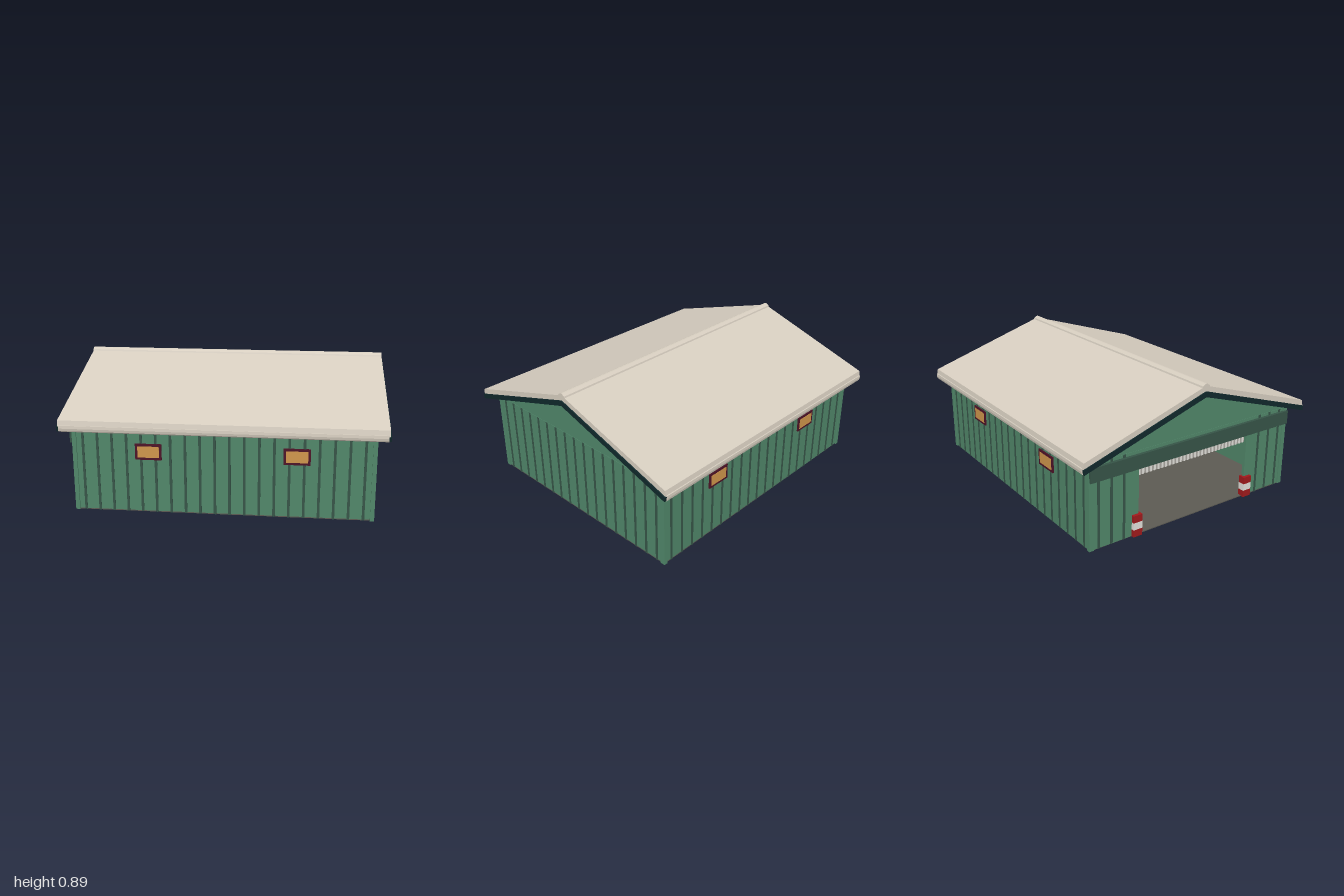
import * as THREE from 'three';

const mat = (name, color) => {
  const m = new THREE.MeshStandardMaterial({ color });
  m.name = name;
  return m;
};

export function createModel() {
  const green = mat('wall green', 0x508669);
  const seam = mat('seam green', 0x365447);
  const cream = mat('roof cream', 0xd6cdbf);
  const dark = mat('fascia dark teal', 0x10282b);
  const maroon = mat('window frame maroon', 0x4c1226);
  const amber = mat('window amber', 0xcf954b);
  const concrete = mat('floor concrete', 0x5c5a52);
  const red = mat('bollard red', 0xa01a1c);
  const white = mat('bollard white', 0xe2e0da);
  const grey = mat('shutter grey', 0xa9a6a0);

  const model = new THREE.Group();
  model.name = 'shed';

  // Box given by its low and high limits on each axis
  const box = (name, material, [x0, x1], [y0, y1], [z0, z1]) => {
    const mesh = new THREE.Mesh(new THREE.BoxGeometry(x1 - x0, y1 - y0, z1 - z0), material);
    mesh.position.set((x0 + x1) / 2, (y0 + y1) / 2, (z0 + z1) / 2);
    mesh.name = name;
    model.add(mesh);
    return mesh;
  };
  // Profile in (z, y), extruded along x and centred on x = cx
  const alongX = (name, material, points, length, cx = 0) => {
    const shape = new THREE.Shape(points.map(([z, y]) => new THREE.Vector2(-z, y)));
    const geo = new THREE.ExtrudeGeometry(shape, { depth: length, bevelEnabled: false });
    geo.rotateY(Math.PI / 2).translate(cx - length / 2, 0, 0);
    const mesh = new THREE.Mesh(geo, material);
    mesh.name = name;
    model.add(mesh);
  };
  // Mirrors the right half of a profile to the left
  const mirrored = (half) => [...half, ...half.map(([z, y]) => [-z, y]).reverse()];

  const W = 0.925, D = 0.775, H = 0.55, T = 0.02;
  const doorZ = 0.43, doorTop = 0.47;

  // Floor slab
  box('floor', concrete, [-W, W], [0, 0.006], [-D, D]);

  // Long walls with seams and windows
  for (const s of [1, -1]) {
    const out = (a, b) => (s > 0 ? [a, b] : [-b, -a]);
    box('longWall', green, [-W, W], [0, H], out(D - T, D));
    for (let i = 0; i < 20; i++) {
      const x = -0.865 + i * 0.091;
      box('wallSeam', seam, [x - 0.008, x + 0.008], [0, H], out(D, D + 0.003));
    }
    for (const c of [-0.455, 0.455]) {
      box('windowFrame', maroon, [c - 0.082, c + 0.082], [0.345, 0.447], out(D, D + 0.009));
      box('windowPane', amber, [c - 0.067, c + 0.067], [0.36, 0.432], out(D + 0.005, D + 0.011));
    }
  }

  // Closed end wall
  box('endWall', green, [W - T, W], [0, H], [-D, D]);
  // Door end wall: two jambs and a lintel
  for (const s of [1, -1]) {
    const out = (a, b) => (s > 0 ? [a, b] : [-b, -a]);
    box('doorSideWall', green, [-W, -W + T], [0, H], out(doorZ, D));
  }
  box('doorLintel', green, [-W, -W + T], [doorTop, H], [-doorZ, doorZ]);

  // Seams on both ends, leaving the doorway free
  for (let i = -8; i <= 8; i++) {
    const z = i * 0.0895;
    box('endSeam', seam, [W, W + 0.003], [0, H], [z - 0.008, z + 0.008]);
    if (Math.abs(z) > doorZ + 0.02)
      box('doorEndSeam', seam, [-W - 0.003, -W], [0, H], [z - 0.008, z + 0.008]);
  }

  // Corner trims
  for (const sx of [1, -1]) for (const sz of [1, -1]) {
    const cx = sx * (W - 0.007), cz = sz * (D - 0.007);
    box('cornerTrim', green, [cx - 0.013, cx + 0.013], [0, H], [cz - 0.016, cz + 0.016]);
  }

  // Gable panels
  for (const s of [1, -1])
    alongX('gable', green, [[0.765, H - 0.005], [0, 0.83], [-0.765, H - 0.005]], 0.016, s * (W - 0.01));

  // Door header rail and partly rolled shutter with ribs
  box('doorHeader', seam, [-0.945, -W], [0.44, 0.53], [-D - 0.005, D + 0.005]);
  box('shutter', grey, [-W + T, -W + T + 0.008], [0.38, 0.48], [-doorZ, doorZ]);
  for (let i = 0; i < 30; i++) {
    const z = -doorZ + 0.015 + i * 0.0286;
    box('shutterRib', white, [-W + T - 0.004, -W + T], [0.38, 0.47], [z - 0.006, z + 0.006]);
  }

  // Striped guards at the foot of the door jambs
  for (const s of [1, -1])
    [red, white, red].forEach((m, i) => {
      const z = s * 0.447;
      box('doorGuard', m, [-0.945, -0.9], [i * 0.047, (i + 1) * 0.047], [z - 0.032, z + 0.032]);
    });

  // Roof: dark underside and fascia, cream sheet, ridge cap
  alongX('roofFascia', dark, mirrored([[0, 0.805], [0.855, 0.535], [0.86, 0.566], [0, 0.84]].slice(1))
    .concat([[0, 0.805]]), 2);
  alongX('roofSheet', cream, [
    [0.86, 0.566], [0.853, 0.604], [0, 0.874], [-0.853, 0.604], [-0.86, 0.566], [0, 0.84],
  ], 1.985);
  alongX('ridgeCap', cream, mirrored([[0.03, 0.862], [0.026, 0.875], [0.006, 0.887]]), 1.987);

  // Eaves gutters
  for (const s of [1, -1])
    alongX('gutter', cream, [
      [0.845, 0.542], [0.855, 0.533], [0.863, 0.54], [0.867, 0.556], [0.866, 0.574], [0.845, 0.574],
    ].map(([z, y]) => [s * z, y]), 1.97);

  return model;
}
